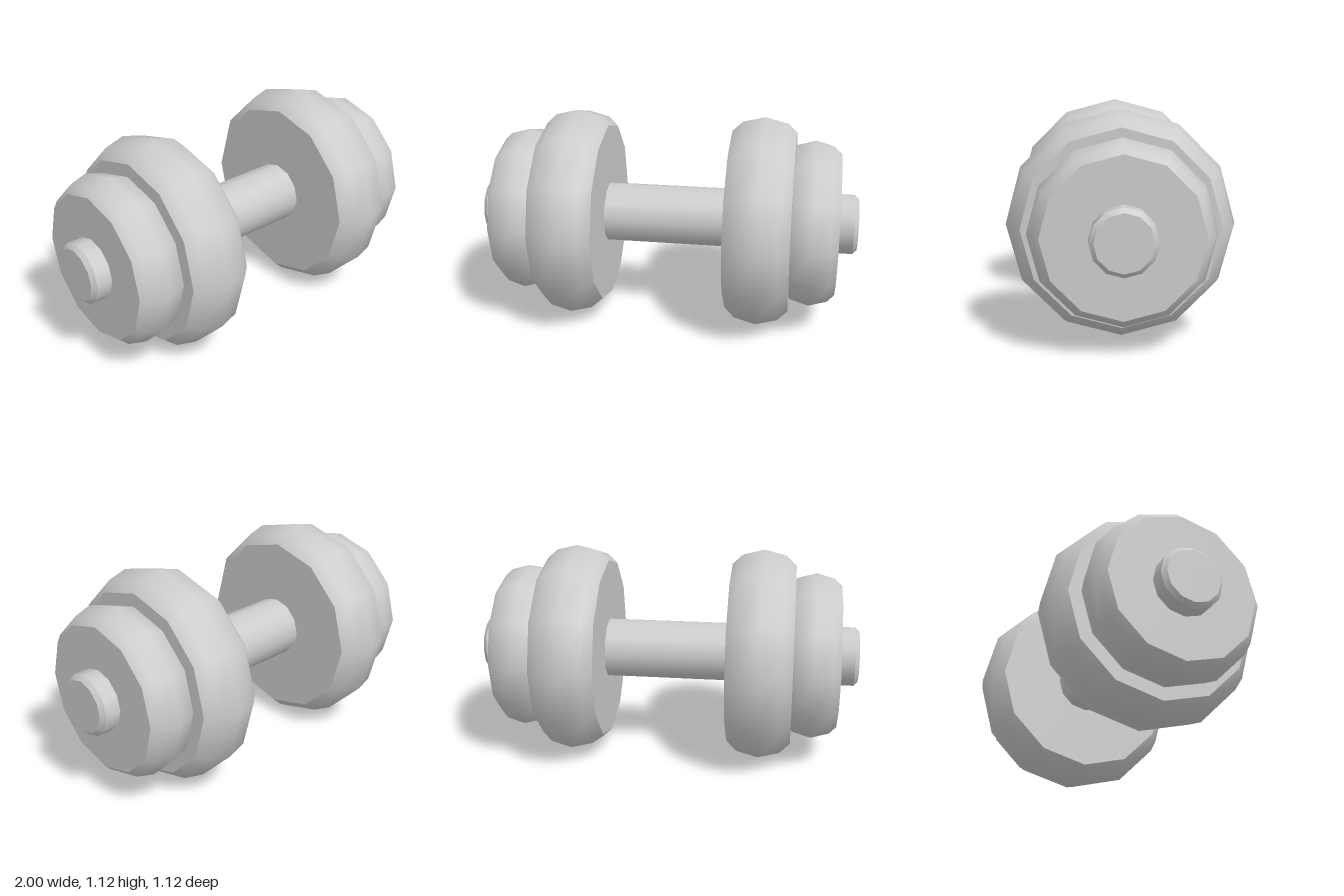
import * as THREE from 'three';
import { toCreasedNormals } from 'three/addons/utils/BufferGeometryUtils.js';

const AXIS_Y = 0.559;
const SIDES = 12;

// Twelve-sided solid turned around the x axis; profile is [x, radius] from -x to +x
function turned(profile) {
  const pts = profile.map(([x, r]) => new THREE.Vector2(r, x));
  const geo = new THREE.LatheGeometry(pts, SIDES).rotateZ(-Math.PI / 2);
  return toCreasedNormals(geo, 0.75);
}

// Bulging weight plate, symmetric about its own middle
function plateGeometry(half, shoulder, rEdge, rShoulder, rMax) {
  return turned([
    [-half, 0], [-half, rEdge], [-shoulder, rShoulder], [0, rMax],
    [shoulder, rShoulder], [half, rEdge], [half, 0],
  ]);
}

export function createModel() {
  const group = new THREE.Group();
  group.name = 'dumbbell';

  const metal = new THREE.MeshStandardMaterial({ color: 0xcccccc });
  metal.name = 'grey metal';

  function add(name, geometry, x) {
    const mesh = new THREE.Mesh(geometry, metal);
    mesh.name = name;
    mesh.position.set(x, AXIS_Y, 0);
    group.add(mesh);
  }

  // Handle bar with chamfered ends
  add('bar', turned([
    [-1, 0], [-1, 0.136], [-0.979, 0.158],
    [0.979, 0.158], [1, 0.136], [1, 0],
  ]), 0);

  // A large inner and a small outer plate on each end
  const large = plateGeometry(0.166, 0.112, 0.48, 0.531, 0.559);
  const small = plateGeometry(0.132, 0.095, 0.38, 0.416, 0.443);
  for (const [side, s] of [['left', 1], ['right', -1]]) {
    add(side + 'LargePlate', large, s * 0.495);
    add(side + 'SmallPlate', small, s * 0.765);
  }

  return group;
}
